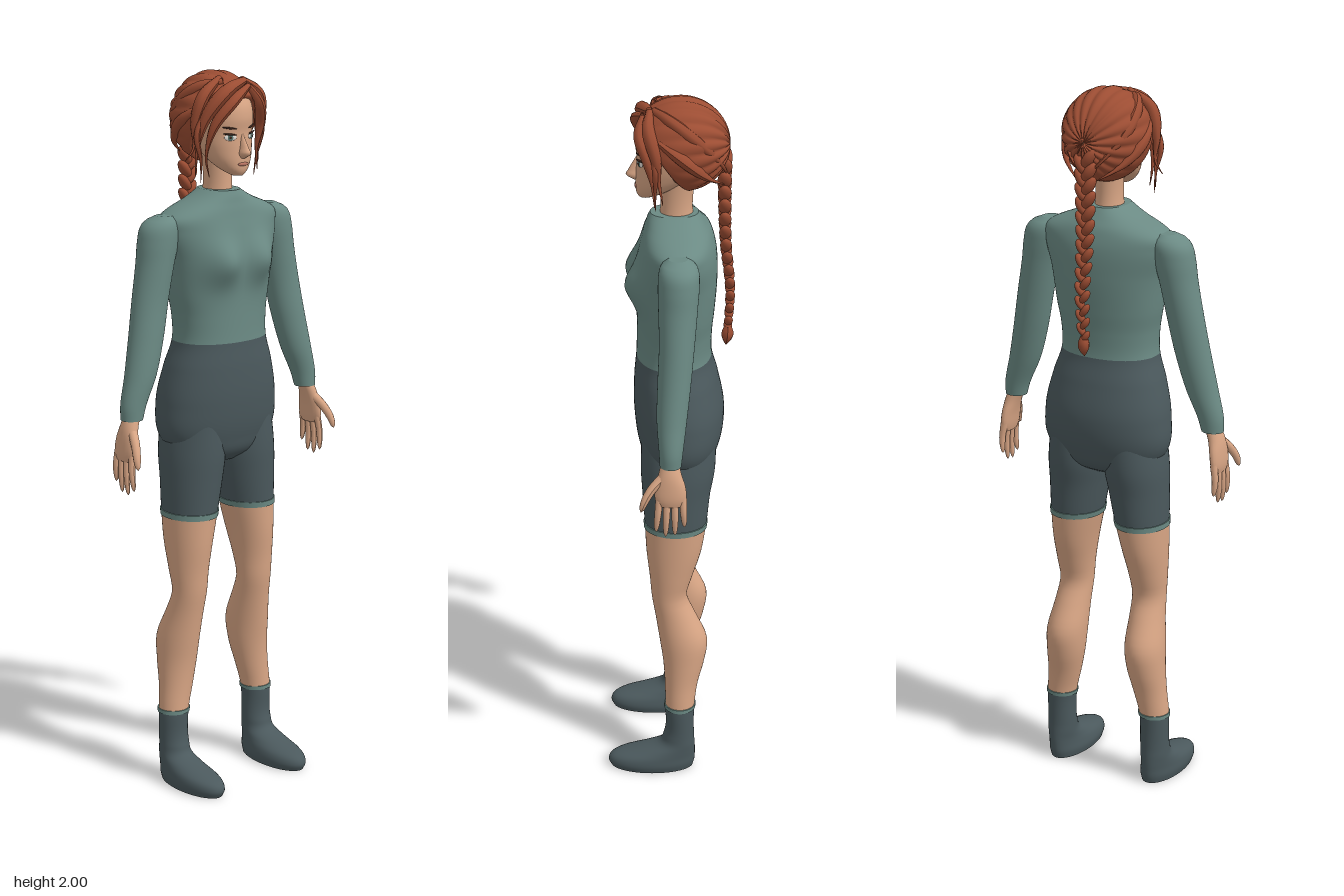
import * as THREE from 'three';

const mat = (name, color, side = THREE.FrontSide) => {
  const m = new THREE.MeshStandardMaterial({ color, side });
  m.name = name;
  return m;
};
const M = {
  skin: mat('skin', 0xd9a685),
  top: mat('sweater teal', 0x6b8a84),
  shorts: mat('charcoal', 0x4b595d),
  hair: mat('auburn hair', 0x9c4d33, THREE.DoubleSide),
  white: mat('eye white', 0xe6e2dc),
  iris: mat('iris green', 0x5c7f78),
  dark: mat('lash brown', 0x3a241c),
  lips: mat('lips', 0xb87563),
};

function add(parent, name, geometry, material) {
  const mesh = new THREE.Mesh(geometry, material);
  mesh.name = name;
  parent.add(mesh);
  return mesh;
}

// Stacked elliptical rings. rows: [y, xMin, xMax, zBack, zFront], bottom to top,
// smoothly interpolated and cut between yLow and yHigh.
function loft(rows, { low = rows[0][0], high = rows.at(-1)[0], steps = 30, sides = 40, grow = 0, power = 1, warp } = {}) {
  const curve = new THREE.CubicInterpolant(rows.map(r => r[0]), rows.flatMap(r => r.slice(1)), 4, new Array(4));
  const pos = [], idx = [];
  const bend = c => Math.sign(c) * Math.abs(c) ** power;
  for (let i = 0; i <= steps; i++) {
    const y = low + (high - low) * i / steps;
    const [x0, x1, z0, z1] = curve.evaluate(y);
    for (let j = 0; j < sides; j++) {
      const a = j / sides * Math.PI * 2;
      const v = new THREE.Vector3(
        (x0 + x1) / 2 + ((x1 - x0) / 2 + grow) * bend(Math.cos(a)), y,
        (z0 + z1) / 2 + ((z1 - z0) / 2 + grow) * bend(Math.sin(a)));
      if (warp) warp(v);
      pos.push(v.x, v.y, v.z);
    }
  }
  for (let i = 0; i < steps; i++) for (let j = 0; j < sides; j++) {
    const k = (j + 1) % sides, a = i * sides + j, c = i * sides + k;
    idx.push(a, a + sides, c, c, a + sides, c + sides);
  }
  // end caps on their own vertices, so their rims stay sharp
  for (const [row, flip] of [[0, false], [steps, true]]) {
    const start = pos.length / 3;
    pos.push(...pos.slice(row * sides * 3, (row + 1) * sides * 3));
    for (let j = 1; j < sides - 1; j++)
      idx.push(start, start + j + (flip ? 1 : 0), start + j + (flip ? 0 : 1));
  }
  const g = new THREE.BufferGeometry();
  g.setAttribute('position', new THREE.Float32BufferAttribute(pos, 3));
  g.setIndex(idx);
  g.computeVertexNormals();
  return g;
}

// Tube along points whose radius follows a rule of t
function taperedTube(points, radius, steps = 20, sides = 8) {
  const path = new THREE.CatmullRomCurve3(points.map(p => new THREE.Vector3(...p)));
  const g = new THREE.TubeGeometry(path, steps, 1, sides);
  const p = g.attributes.position, v = new THREE.Vector3();
  for (let i = 0; i < p.count; i++) {
    const t = Math.floor(i / (sides + 1)) / steps, c = path.getPointAt(t);
    v.fromBufferAttribute(p, i).sub(c).multiplyScalar(radius(t)).add(c);
    p.setXYZ(i, v.x, v.y, v.z);
  }
  g.computeVertexNormals();
  return g;
}

const ball = new THREE.SphereGeometry(1, 20, 14);
function blob(parent, name, material, [x, y, z], [sx, sy, sz], rotZ = 0) {
  const m = add(parent, name, ball, material);
  m.position.set(x, y, z);
  m.scale.set(sx, sy, sz);
  m.rotation.z = rotZ;
  return m;
}
const sym = rows => rows.map(([y, w, z0, z1]) => [y, -w, w, z0, z1]);

const TORSO = sym([
  [0.925, 0.07, -0.06, 0.03], [0.95, 0.13, -0.105, 0.065], [1.0, 0.176, -0.132, 0.085], [1.1, 0.184, -0.147, 0.1],
  [1.2, 0.163, -0.13, 0.1], [1.27, 0.141, -0.112, 0.094], [1.34, 0.142, -0.112, 0.092], [1.4, 0.153, -0.118, 0.092],
  [1.5, 0.168, -0.125, 0.095], [1.58, 0.188, -0.122, 0.085], [1.615, 0.185, -0.113, 0.077], [1.635, 0.15, -0.105, 0.072],
  [1.65, 0.112, -0.095, 0.067], [1.667, 0.075, -0.084, 0.062], [1.682, 0.05, -0.074, 0.055]]);
const LEG = [
  [0, 0.1, 0.205, -0.065, 0.172], [0.02, 0.096, 0.21, -0.07, 0.18], [0.042, 0.1, 0.208, -0.071, 0.162], [0.06, 0.107, 0.203, -0.071, 0.1],
  [0.08, 0.112, 0.198, -0.07, 0.04], [0.11, 0.113, 0.196, -0.068, 0.02], [0.21, 0.11, 0.196, -0.069, 0.015], [0.28, 0.093, 0.19, -0.078, 0.016],
  [0.35, 0.078, 0.187, -0.096, 0.021], [0.42, 0.072, 0.184, -0.104, 0.031], [0.5, 0.072, 0.172, -0.07, 0.043], [0.56, 0.07, 0.167, -0.046, 0.053],
  [0.62, 0.064, 0.171, -0.06, 0.058], [0.7, 0.05, 0.175, -0.085, 0.067], [0.79, 0.03, 0.177, -0.1, 0.072], [0.88, 0.013, 0.178, -0.11, 0.078],
  [0.95, 0.002, 0.177, -0.122, 0.082], [1.05, 0.005, 0.165, -0.125, 0.08]];
const ARM = [
  [1.085, 0.283, 0.345, -0.03, 0.028], [1.12, 0.272, 0.345, -0.034, 0.03], [1.2, 0.236, 0.327, -0.044, 0.036], [1.3, 0.206, 0.306, -0.055, 0.034],
  [1.4, 0.184, 0.287, -0.064, 0.03], [1.5, 0.162, 0.268, -0.072, 0.032], [1.56, 0.145, 0.26, -0.076, 0.033], [1.595, 0.14, 0.25, -0.074, 0.03],
  [1.613, 0.145, 0.232, -0.064, 0.022], [1.624, 0.16, 0.205, -0.045, 0.005]];
const PALM = [
  [0.975, 0.325, 0.35, -0.034, 0.03], [0.99, 0.321, 0.353, -0.042, 0.039], [1.03, 0.314, 0.352, -0.041, 0.04],
  [1.065, 0.304, 0.347, -0.03, 0.031], [1.1, 0.29, 0.335, -0.022, 0.022]];
const HEAD = sym([
  [1.725, 0.014, 0.05, 0.083], [1.735, 0.03, 0.025, 0.09], [1.76, 0.054, -0.02, 0.093], [1.8, 0.072, -0.07, 0.092],
  [1.84, 0.081, -0.1, 0.09], [1.88, 0.085, -0.115, 0.094], [1.92, 0.08, -0.115, 0.085], [1.96, 0.058, -0.085, 0.055], [1.98, 0.02, -0.04, 0.01]]);
const NOSE = sym([
  [1.773, 0.008, 0.07, 0.098], [1.785, 0.014, 0.07, 0.118], [1.8, 0.011, 0.07, 0.112], [1.83, 0.006, 0.07, 0.095], [1.845, 0.004, 0.07, 0.086]]);
const NECK = sym([[1.64, 0.044, -0.065, 0.032], [1.69, 0.037, -0.058, 0.028], [1.74, 0.037, -0.06, 0.028], [1.8, 0.042, -0.07, 0.03]]);

function buildLimbs(root, s) {
  const side = s > 0 ? 'left' : 'right';
  const m = rows => s > 0 ? rows : rows.map(([y, a, b, z0, z1]) => [y, -b, -a, z0, z1]);
  const leg = m(LEG);
  add(root, side + 'ShortsLeg', loft(leg, { low: 0.785 }), M.shorts);
  add(root, side + 'ShortsHem', loft(leg, { low: 0.778, high: 0.794, steps: 2, grow: 0.003 }), M.top);
  add(root, side + 'Leg', loft(leg, { low: 0.205, high: 0.79 }), M.skin);
  add(root, side + 'Sock', loft(leg, { high: 0.21, steps: 42 }), M.shorts);
  add(root, side + 'SockHem', loft(leg, { low: 0.204, high: 0.215, steps: 2, grow: 0.003 }), M.top);
  add(root, side + 'Sleeve', loft(m(ARM), { steps: 50 }), M.top);

  // Hand, with the palm facing the thigh
  const hand = new THREE.Group();
  hand.name = side + 'Hand';
  root.add(hand);
  add(hand, 'palm', loft(m(PALM), { steps: 14, sides: 20 }), M.skin);
  const digit = (name, points, r) => add(hand, name,
    taperedTube(points.map(([x, y, z]) => [x * s, y, z]), t => r * Math.sqrt(Math.max(0, 1 - t ** 6)) * (1 - 0.25 * t), 16, 10), M.skin);
  [0.895, 0.88, 0.884, 0.91].forEach((tip, i) => {
    const z = 0.028 - 0.0205 * i, zt = 0.038 - 0.0255 * i;
    digit('finger', [[0.336, 1.0, z], [0.342, (1 + tip) / 2, (z + zt) / 2], [0.339, tip, zt]], 0.0105);
  });
  digit('thumb', [[0.328, 1.055, 0.02], [0.342, 1.025, 0.05], [0.352, 0.995, 0.068], [0.356, 0.965, 0.078]], 0.0135);
}

function buildFace(head) {
  add(head, 'skull', loft(HEAD, { steps: 40 }), M.skin);
  add(head, 'nose', loft(NOSE, { sides: 16, steps: 16 }), M.skin);
  add(head, 'neck', loft(NECK, { steps: 8 }), M.skin);
  blob(head, 'mouth', M.lips, [0, 1.757, 0.092], [0.018, 0.005, 0.004]);
  for (const s of [-1, 1]) {
    blob(head, 'ear', M.skin, [0.081 * s, 1.82, -0.02], [0.01, 0.028, 0.018]);
    const eye = new THREE.Group();
    eye.name = s > 0 ? 'leftEye' : 'rightEye';
    eye.position.set(0.036 * s, 1.83, 0.081);
    eye.rotation.y = 0.48 * s;
    head.add(eye);
    blob(eye, 'eyeWhite', M.white, [0, 0, 0], [0.017, 0.009, 0.003]);
    blob(eye, 'iris', M.iris, [0, 0, 0.002], [0.008, 0.008, 0.002]);
    blob(eye, 'pupil', M.dark, [0, 0, 0.0035], [0.004, 0.004, 0.001]);
    blob(eye, 'upperLash', M.dark, [0.001 * s, 0.0085, 0.002], [0.019, 0.0028, 0.003], 0.12 * s);
    blob(eye, 'eyebrow', M.dark, [0.002 * s, 0.025, 0.001], [0.021, 0.0028, 0.003], 0.14 * s);
  }
}

function buildHair(head) {
  // Ridged cap gathered at the back, open around the face
  const nt = 40, np = 144, cap = new THREE.SphereGeometry(1, np, nt), p = cap.attributes.position;
  for (let i = 0; i < p.count; i++) {
    const t = Math.floor(i / (np + 1)) / nt, phi = (i % (np + 1)) / np * Math.PI * 2;
    const up = Math.cos(phi), reach = 118 + (up > 0 ? 32 : 40) * up;
    const th = THREE.MathUtils.degToRad(reach) * Math.min(1, t / 0.92);
    const ridge = 0.055 * (Math.abs(Math.sin(9 * phi + 1.5 * t)) - 0.7) * Math.sin(Math.PI * Math.min(1, t + 0.15));
    const r = (1 + ridge) * (t > 0.92 ? 1 - (t - 0.92) * 3.2 : 1);
    p.setXYZ(i, -Math.sin(phi) * Math.sin(th) * 0.118 * r, 1.872 + up * Math.sin(th) * 0.126 * r, -0.025 - Math.cos(th) * 0.13 * r);
  }
  cap.computeVertexNormals();
  add(head, 'hairCap', cap, M.hair);

  // Fringe and loose side locks falling from the parting
  const lock = (r, ...points) => add(head, 'hairLock',
    taperedTube(points, t => r * (0.45 + 0.55 * Math.sin(Math.PI * Math.min(1, t * 1.3))) * (1 - t ** 3) + 0.0008, 26), M.hair);
  lock(0.016, [0.035, 1.962, 0.072], [-0.03, 1.93, 0.092], [-0.08, 1.865, 0.07], [-0.094, 1.78, 0.05], [-0.085, 1.725, 0.052]);
  lock(0.02, [0.035, 1.975, 0.055], [-0.05, 1.95, 0.076], [-0.1, 1.88, 0.052], [-0.112, 1.8, 0.035], [-0.115, 1.73, 0.03]);
  lock(0.017, [-0.03, 1.985, 0.03], [-0.095, 1.94, 0.04], [-0.117, 1.87, 0.03], [-0.118, 1.8, 0.025], [-0.142, 1.77, 0.02]);
  lock(0.008, [-0.1, 1.9, 0.05], [-0.122, 1.84, 0.045], [-0.108, 1.77, 0.045], [-0.105, 1.71, 0.04]);
  lock(0.015, [0.035, 1.962, 0.072], [0.062, 1.92, 0.083], [0.087, 1.86, 0.062], [0.085, 1.79, 0.048], [0.093, 1.73, 0.042]);
  lock(0.018, [0.035, 1.975, 0.055], [0.08, 1.94, 0.058], [0.105, 1.87, 0.038], [0.103, 1.8, 0.03], [0.115, 1.745, 0.02]);
  lock(0.008, [0.09, 1.9, 0.05], [0.11, 1.84, 0.04], [0.092, 1.77, 0.04], [0.082, 1.715, 0.04]);
  for (const s of [-1, 1]) {
    lock(0.018, [0.03 * s, 1.975, 0.045], [0.075 * s, 1.96, 0], [0.09 * s, 1.9, -0.08], [0.05 * s, 1.83, -0.135], [0, 1.78, -0.15]);
    lock(0.018, [0.095 * s, 1.91, 0.03], [0.112 * s, 1.87, -0.03], [0.085 * s, 1.81, -0.095], [0.03 * s, 1.77, -0.14]);
  }

  // Plait: crossing lobes along a hanging path, ending in a tuft
  const braid = new THREE.Group();
  braid.name = 'braid';
  head.add(braid);
  const path = new THREE.CatmullRomCurve3([[1.83, -0.142], [1.76, -0.142], [1.6, -0.146], [1.45, -0.16], [1.345, -0.155]]
    .map(([y, z]) => new THREE.Vector3(0, y, z)));
  const n = 26;
  for (let i = 0; i <= n; i++) {
    const c = path.getPointAt(i / n), w = 1 - 0.42 * i / n, s = i % 2 ? 1 : -1;
    blob(braid, 'braidLobe', M.hair, [0.011 * w * s, c.y, c.z], [0.0155 * w, 0.033 * w, 0.02 * w], -0.6 * s);
  }
  add(braid, 'braidTuft', taperedTube([[0, 1.345, -0.155], [0, 1.32, -0.154], [0, 1.288, -0.15]],
    t => 0.009 + 0.009 * Math.sin(Math.PI * t) - 0.0085 * t * t), M.hair);
}

export function createModel() {
  const root = new THREE.Group();
  root.name = 'figure';

  // Torso, with the chest shaped by a smooth bulge on each side
  const chest = v => {
    if (v.z > 0) v.z += 0.034 * Math.min(1, v.z / 0.04) * Math.exp(-(((Math.abs(v.x) - 0.065) / 0.05) ** 2) - ((v.y - 1.495) / 0.06) ** 2);
  };
  add(root, 'sweater', loft(TORSO, { low: 1.27, steps: 60, sides: 72, power: 0.92, warp: chest }), M.top);
  add(root, 'shortsHips', loft(TORSO, { high: 1.272, steps: 40, sides: 72, power: 0.92 }), M.shorts);
  for (const s of [-1, 1]) buildLimbs(root, s);

  const head = new THREE.Group();
  head.name = 'head';
  root.add(head);
  buildFace(head);
  buildHair(head);
  return root;
}
